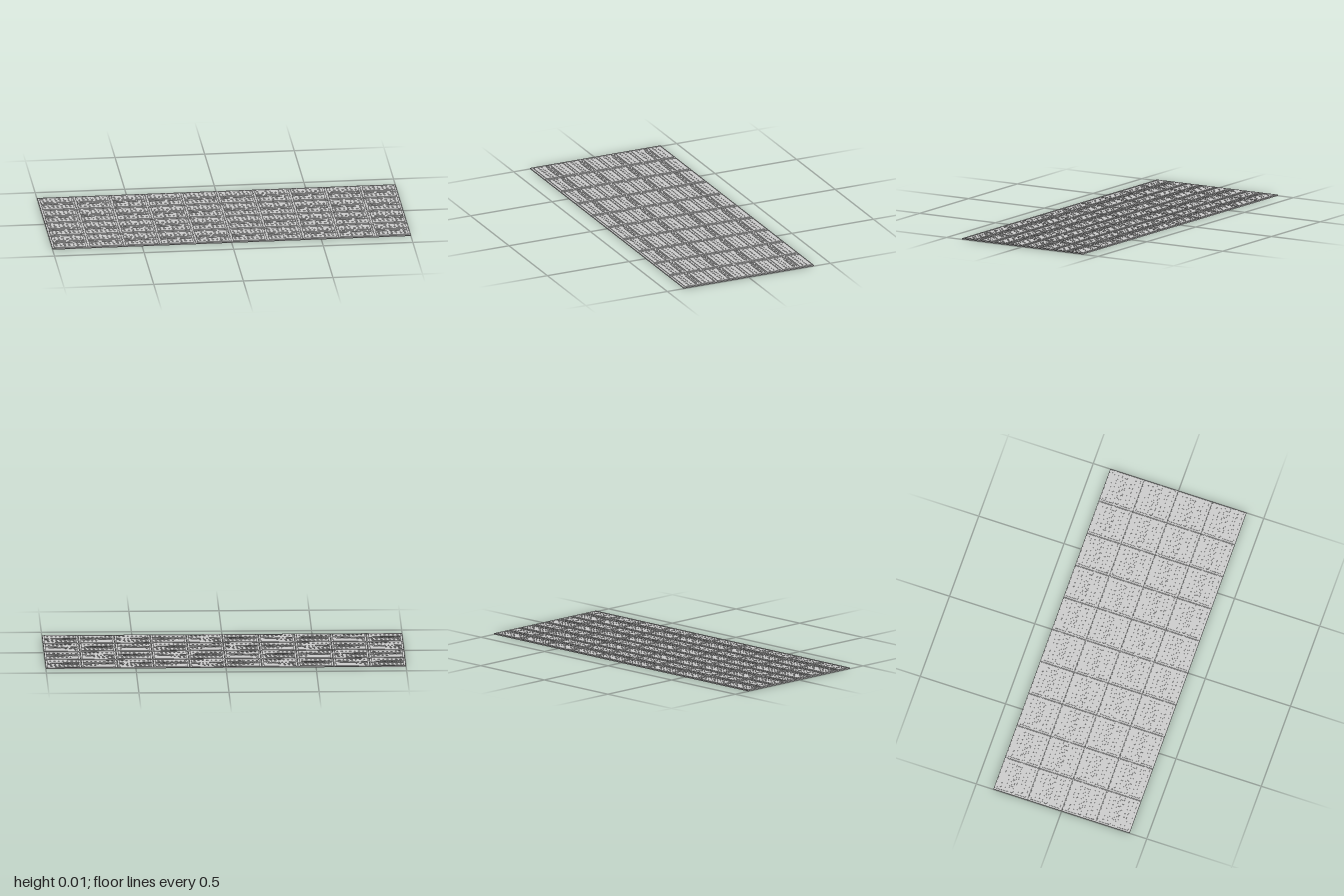
import * as THREE from 'three';
import { mergeGeometries } from 'three/addons/utils/BufferGeometryUtils.js';

const COLUMNS = 10, ROWS = 4, TILE = 0.2;
const material = new THREE.MeshStandardMaterial({ color: 0xcccccc, flatShading: true });

// Box given by its centre in plan, its size and its bottom and top heights
function box(x, z, width, depth, bottom, top) {
  return new THREE.BoxGeometry(width, top - bottom, depth).translate(x, (bottom + top) / 2, z);
}

function disc(x, z, radius, bottom, top, sides = 10) {
  return new THREE.CylinderGeometry(radius, radius, top - bottom, sides).translate(x, (bottom + top) / 2, z);
}

function rectPath(path, x, y, w, h) {
  path.moveTo(x - w / 2, y - h / 2);
  path.lineTo(x + w / 2, y - h / 2);
  path.lineTo(x + w / 2, y + h / 2);
  path.lineTo(x - w / 2, y + h / 2);
  path.closePath();
  return path;
}

// Flat plate lying in xz, pierced by rectangular holes [x, z, width, depth]
function plate(z, width, depth, bottom, top, holes) {
  const shape = rectPath(new THREE.Shape(), 0, -z, width, depth);
  for (const [hx, hz, w, d] of holes) shape.holes.push(rectPath(new THREE.Path(), hx, -hz, w, d));
  return new THREE.ExtrudeGeometry(shape, { depth: top - bottom, bevelEnabled: false })
    .rotateX(-Math.PI / 2).translate(0, bottom, 0);
}

// Two rows of small sockets across a cover
function sockets(z1, z2) {
  const holes = [];
  for (let i = 0; i < 7; i++) {
    const x = (i - 3) * 0.024;
    holes.push([x - 0.004, z1, i % 2 ? 0.007 : 0.012, 0.006]);
    holes.push([x, z2, i % 2 ? 0.012 : 0.008, 0.009]);
  }
  return holes;
}

function tileParts() {
  const parts = {};
  parts.basePlate = box(0, 0, 0.198, 0.198, 0.001, 0.004);

  // Raised lip around each tile
  parts.rim = plate(0, 0.199, 0.199, 0, 0.0065, [[0, 0, 0.192, 0.192]]);

  // Two pierced covers either side of the middle channel
  parts.rearCover = plate(-0.054, 0.178, 0.068, 0.004, 0.007, sockets(-0.065, -0.041));
  parts.frontCover = plate(0.053, 0.178, 0.064, 0.004, 0.007, sockets(0.04, 0.059));

  // Shallow components in the middle channel
  const channel = [];
  for (let i = 0; i < 6; i++) {
    channel.push(box(-0.045 + i * 0.02, i % 2 ? 0.004 : -0.003, 0.014, 0.009, 0.004, 0.0066));
  }
  channel.push(box(0.005, -0.013, 0.12, 0.003, 0.004, 0.0068));
  channel.push(box(0.005, 0.013, 0.12, 0.003, 0.004, 0.0068));
  channel.push(box(0.08, 0, 0.018, 0.022, 0.004, 0.007));
  parts.channelFittings = mergeGeometries(channel);

  // Round connector, the tallest fitting
  parts.connector = mergeGeometries([
    disc(-0.078, 0, 0.01, 0.004, 0.009, 12),
    box(-0.064, 0, 0.014, 0.008, 0.004, 0.0075),
  ]);

  // Corner fasteners and locating pin
  const fasteners = [];
  for (const x of [-0.084, 0.084]) {
    for (const z of [-0.079, 0.079]) fasteners.push(disc(x, z, 0.003, 0.006, 0.0074, 8));
  }
  fasteners.push(disc(-0.078, -0.085, 0.003, 0.006, 0.008, 8));
  parts.fasteners = mergeGeometries(fasteners);

  // Small bosses on the underside
  parts.undersideBosses = mergeGeometries([-0.08, 0.08].flatMap(
    (x) => [-0.08, 0.08].map((z) => disc(x, z, 0.005, 0.0004, 0.0015, 8))));
  return parts;
}

export function createModel() {
  const model = new THREE.Group();
  model.name = 'panelArray';
  const parts = tileParts();

  // Repeat the tile over the whole array
  for (let row = 0; row < ROWS; row++) {
    for (let col = 0; col < COLUMNS; col++) {
      const tile = new THREE.Group();
      tile.name = `panel${row + 1}_${col + 1}`;
      for (const [name, geometry] of Object.entries(parts)) {
        const mesh = new THREE.Mesh(geometry, material);
        mesh.name = name;
        tile.add(mesh);
      }
      tile.position.set((col - (COLUMNS - 1) / 2) * TILE, 0, (row - (ROWS - 1) / 2) * TILE);
      model.add(tile);
    }
  }
  return model;
}
